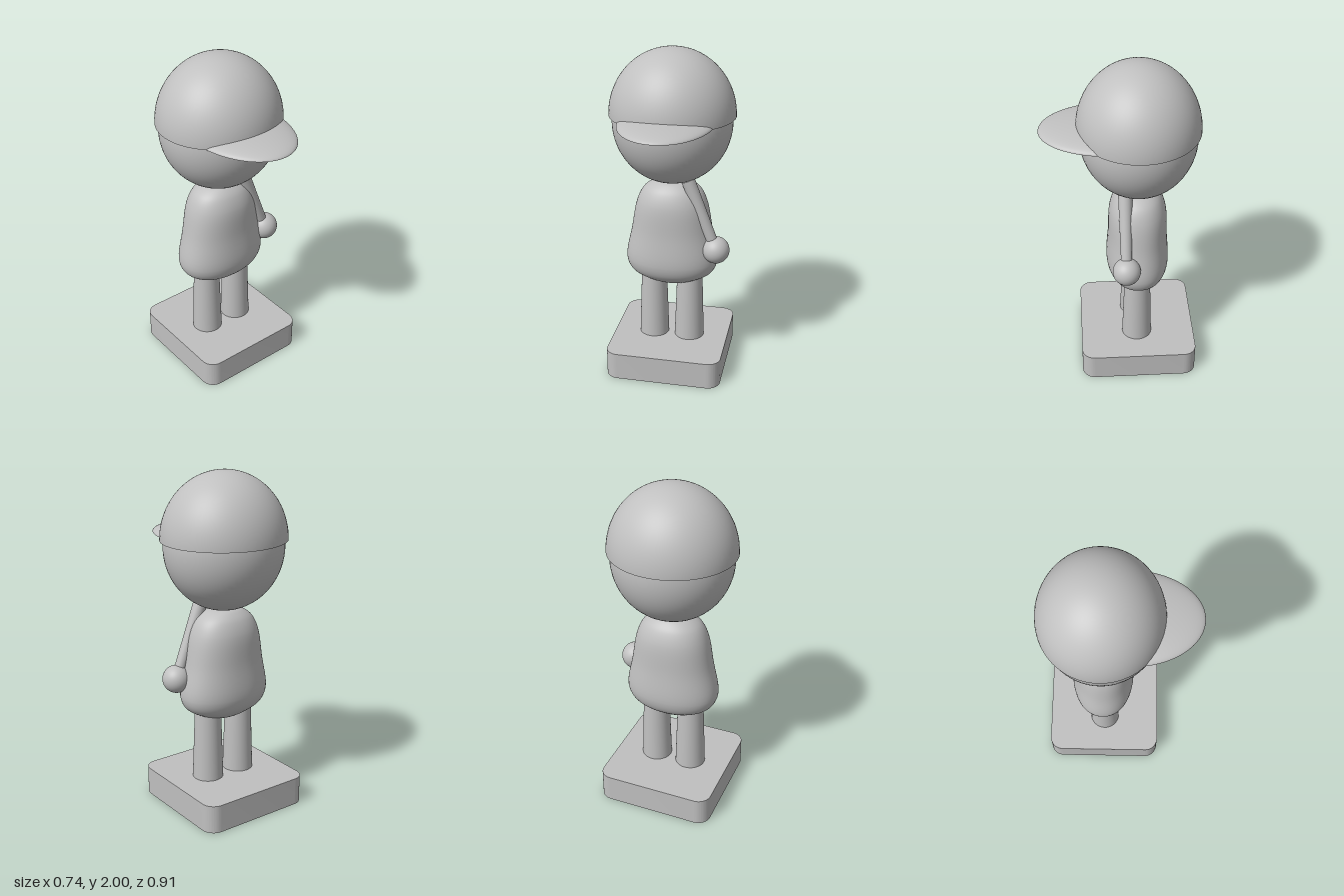
import * as THREE from 'three';
import { toCreasedNormals } from 'three/addons/utils/BufferGeometryUtils.js';

const CZ = -0.104; // body axis, set back from the visor

const grey = new THREE.MeshStandardMaterial({ color: 0xc0c0c0 });
grey.name = 'matte grey';

function part(name, geometry, x = 0, y = 0, z = 0) {
  const mesh = new THREE.Mesh(geometry, grey);
  mesh.name = name;
  mesh.position.set(x, y, z);
  return mesh;
}

// Plinth: square slab with rounded vertical corners
function plinthGeometry(h, r, height) {
  const s = new THREE.Shape();
  s.absarc(h - r, h - r, r, 0, Math.PI / 2);
  s.absarc(r - h, h - r, r, Math.PI / 2, Math.PI);
  s.absarc(r - h, r - h, r, Math.PI, Math.PI * 1.5);
  s.absarc(h - r, r - h, r, Math.PI * 1.5, Math.PI * 2);
  const g = new THREE.ExtrudeGeometry(s, { depth: height, bevelEnabled: false, curveSegments: 10 });
  g.rotateX(-Math.PI / 2);
  return toCreasedNormals(g, 0.6);
}

// Torso: stacked soft oval rings, each given as (half width, height, half depth)
function torsoGeometry() {
  const rings = new THREE.CatmullRomCurve3([
    [0.001, 0.54, 0.001], [0.07, 0.545, 0.06], [0.185, 0.583, 0.125], [0.255, 0.63, 0.167],
    [0.28, 0.7, 0.186], [0.247, 0.89, 0.176], [0.213, 1.07, 0.166], [0.175, 1.15, 0.137],
    [0.125, 1.19, 0.102], [0.075, 1.207, 0.07], [0.001, 1.21, 0.001],
  ].map((p) => new THREE.Vector3(...p))).getPoints(60);
  const n = 64;
  const soft = (v) => Math.sign(v) * Math.abs(v) ** (2 / 2.15);
  const pos = [];
  const idx = [];
  rings.forEach((r, i) => {
    for (let j = 0; j < n; j++) {
      const t = (j / n) * Math.PI * 2;
      pos.push(r.x * soft(Math.cos(t)), r.y, r.z * soft(Math.sin(t)));
      if (i === rings.length - 1) continue;
      const a = i * n + j;
      const b = i * n + ((j + 1) % n);
      idx.push(a, a + n, b, b, a + n, b + n);
    }
  });
  const g = new THREE.BufferGeometry();
  g.setAttribute('position', new THREE.Float32BufferAttribute(pos, 3));
  g.setIndex(idx);
  g.computeVertexNormals();
  return g;
}

// Half ellipsoid with a flat closed underside
function dome(name, rx, ry, rz, y, z) {
  const group = new THREE.Group();
  group.name = name;
  const shell = new THREE.SphereGeometry(1, 64, 24, 0, Math.PI * 2, 0, Math.PI / 2);
  const under = new THREE.CircleGeometry(1, 64).rotateX(Math.PI / 2);
  group.add(
    part(name + 'Top', shell.scale(rx, ry, rz), 0, y, z),
    part(name + 'Underside', under.scale(rx, 1, rz), 0, y, z),
  );
  return group;
}

// Tapered round limb between two points
function limb(name, from, to, rFrom, rTo) {
  const dir = to.clone().sub(from);
  const mesh = part(name, new THREE.CylinderGeometry(rTo, rFrom, dir.length(), 40));
  mesh.position.copy(from).addScaledVector(dir, 0.5);
  mesh.quaternion.setFromUnitVectors(new THREE.Vector3(0, 1, 0), dir.normalize());
  return mesh;
}

export function createModel() {
  const model = new THREE.Group();
  model.name = 'figurine';

  model.add(part('plinth', plinthGeometry(0.354, 0.078, 0.17), 0, 0, CZ));

  // Legs
  for (const [name, s] of [['leftLeg', 1], ['rightLeg', -1]]) {
    model.add(limb(name, new THREE.Vector3(s * 0.112, 0.165, CZ + 0.004),
      new THREE.Vector3(s * 0.112, 0.66, CZ + 0.004), 0.092, 0.076));
  }

  model.add(part('torso', torsoGeometry(), 0, 0, CZ));

  // Single left arm and hand
  const hand = new THREE.Vector3(0.282, 0.806, -0.024);
  model.add(limb('leftArm', hand, new THREE.Vector3(0.108, 1.242, -0.024), 0.031, 0.041));
  model.add(part('leftHand', new THREE.SphereGeometry(0.082, 40, 24), hand.x, hand.y, hand.z));

  // Head and cap
  const head = new THREE.SphereGeometry(1, 64, 40).scale(0.353, 0.37, 0.336);
  model.add(part('head', head, 0, 1.572, CZ));
  model.add(dome('cap', 0.371, 0.39, 0.352, 1.61, CZ));
  model.add(dome('visor', 0.278, 0.056, 0.405, 1.609, 0.05));

  return model;
}
